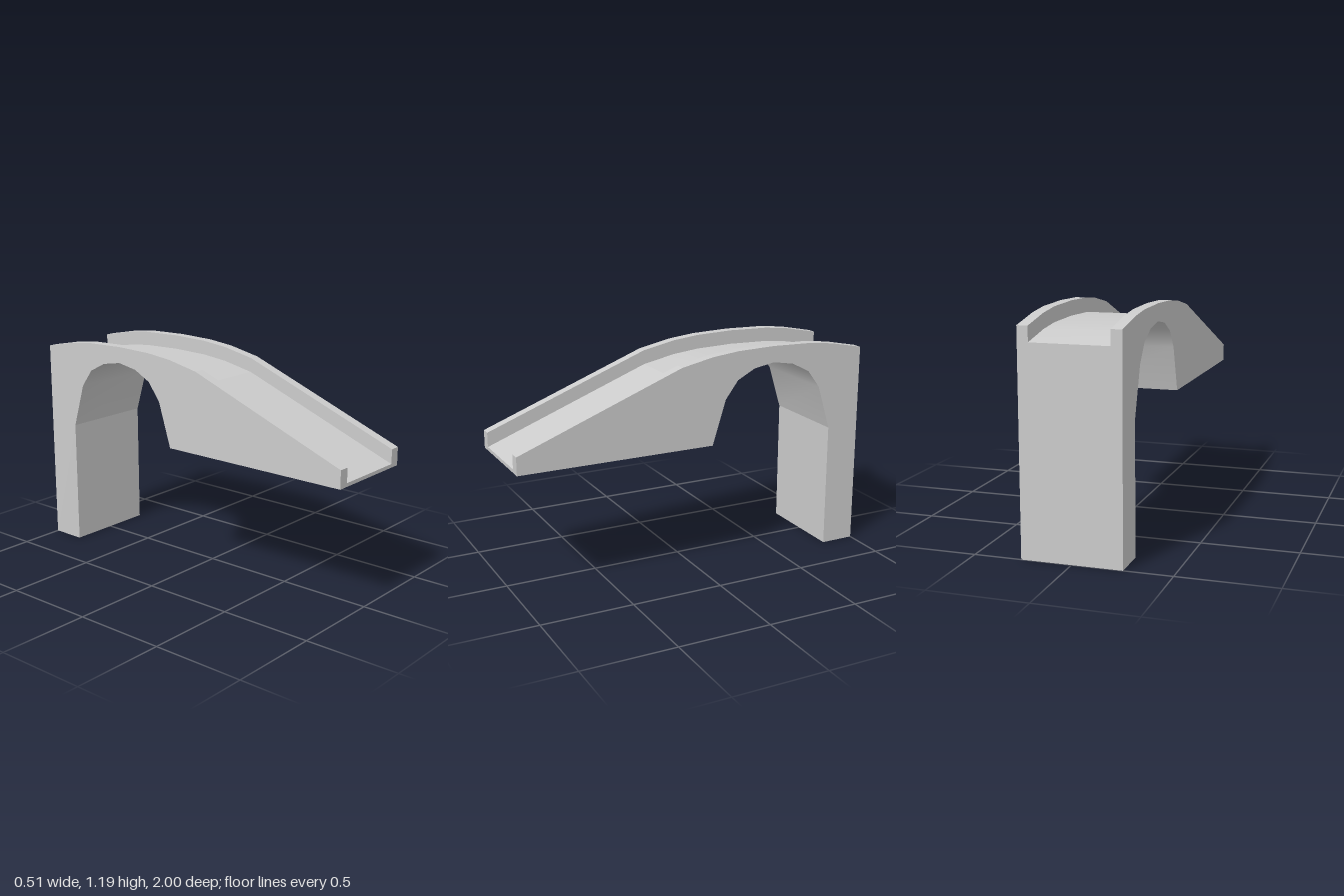
import * as THREE from 'three';
import { mergeGeometries } from 'three/addons/utils/BufferGeometryUtils.js';

const HALF_WIDTH = 0.256, DECK_HALF = 0.2, CURB_HEIGHT = 0.077;

// Closed side profile of [z, y] runs, swept from x0 to x1.
// Each run shades smoothly; joints between runs stay sharp.
function prism(runs, x0, x1) {
  const parts = runs.map((run) => {
    const pos = [], index = [];
    run.forEach(([z, y], i) => {
      pos.push(x0, y, z, x1, y, z);
      if (i) {
        const a = 2 * (i - 1);
        index.push(a, a + 1, a + 3, a, a + 3, a + 2);
      }
    });
    const g = new THREE.BufferGeometry();
    g.setAttribute('position', new THREE.Float32BufferAttribute(pos, 3));
    g.setIndex(index);
    g.computeVertexNormals();
    return g;
  });

  // Flat side faces
  const outline = runs.flatMap((run) => run.slice(0, -1));
  for (const [side, x] of [[1, x1], [-1, x0]]) {
    const shape = new THREE.Shape(outline.map(([z, y]) => new THREE.Vector2(-side * z, y)));
    const cap = new THREE.ShapeGeometry(shape);
    cap.rotateY(side * Math.PI / 2).translate(x, 0, 0);
    cap.deleteAttribute('uv');
    parts.push(cap);
  }
  return mergeGeometries(parts);
}

export function createModel() {
  const group = new THREE.Group();
  const material = new THREE.MeshStandardMaterial({ color: 0xcccccc });
  const add = (name, geometry) => {
    const mesh = new THREE.Mesh(geometry, material);
    mesh.name = name;
    group.add(mesh);
  };
  const lower = (run) => run.map(([z, y]) => [z, y - CURB_HEIGHT]);

  // Top edge of the curbs: straight ramp, then a gentle crown
  const ramp = [[1, 0.784], [0.1, 1.128]];
  const crown = [
    [0.1, 1.128], [-0.08, 1.165], [-0.23, 1.181], [-0.44, 1.187],
    [-0.67, 1.181], [-0.81, 1.165], [-1, 1.127],
  ];
  const deckRamp = lower(ramp), deckCrown = lower(crown);
  const deckBack = deckCrown[deckCrown.length - 1];

  // Arch opening, from the pier to the ramp
  const arch = [
    [-0.812, 0.688], [-0.737, 0.93], [-0.666, 1.026], [-0.565, 1.078], [-0.445, 1.099],
    [-0.327, 1.078], [-0.228, 1.026], [-0.156, 0.93], [-0.08, 0.688],
  ];

  // Bridge body with pier, arch and deck
  add('bridgeBody', prism([
    deckRamp,
    deckCrown,
    [deckBack, [-1, 0]],
    [[-1, 0], [-0.812, 0]],
    [[-0.812, 0], arch[0]],
    arch,
    [arch[8], [1, 0.688]],
    [[1, 0.688], deckRamp[0]],
  ], -HALF_WIDTH, HALF_WIDTH));

  // Curbs along both edges of the deck
  const curbRuns = [
    ramp,
    crown,
    [crown[crown.length - 1], deckBack],
    [...deckCrown].reverse(),
    [...deckRamp].reverse(),
    [deckRamp[0], ramp[0]],
  ];
  add('leftCurb', prism(curbRuns, DECK_HALF, HALF_WIDTH));
  add('rightCurb', prism(curbRuns, -HALF_WIDTH, -DECK_HALF));

  return group;
}
